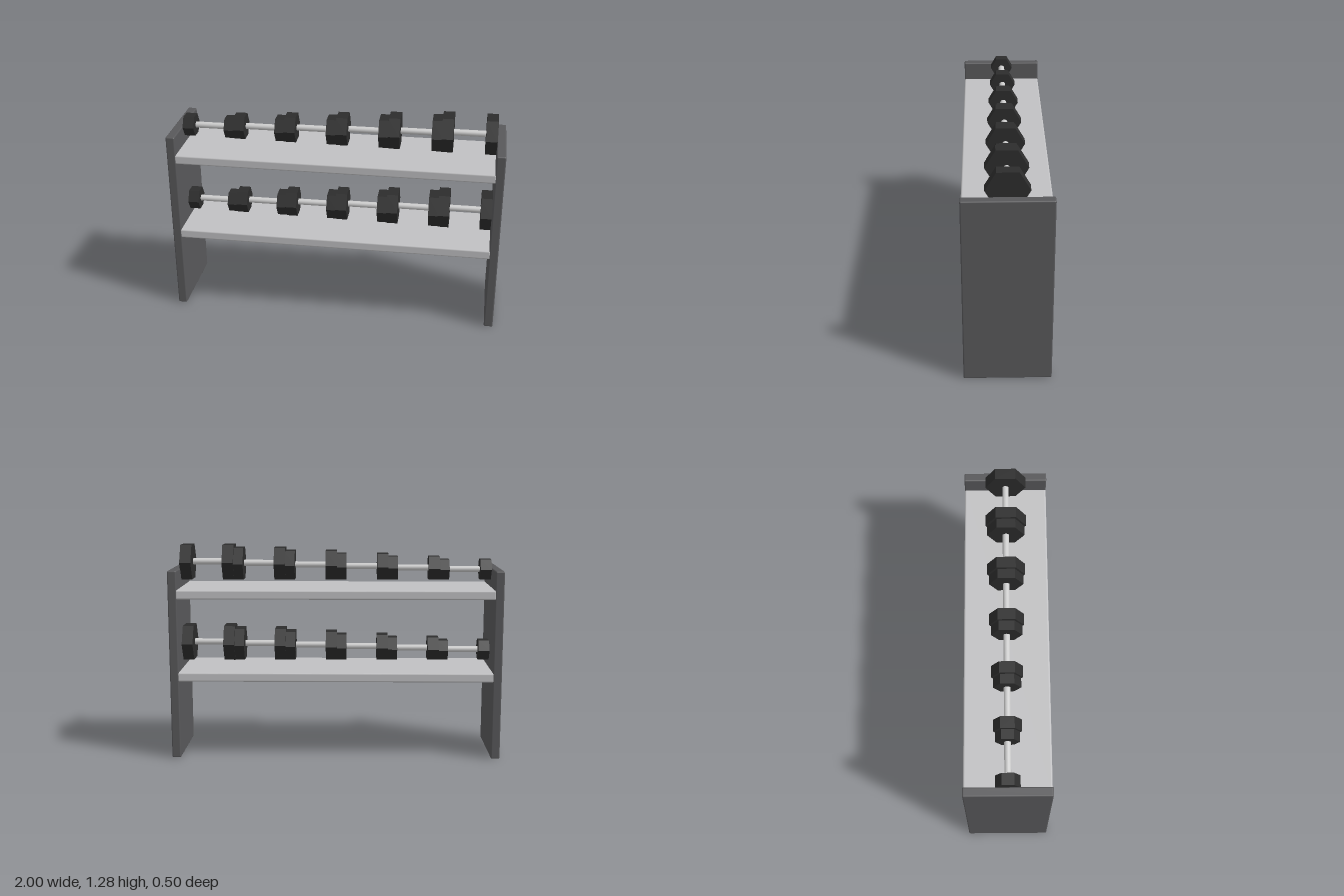
import * as THREE from 'three';
import { RoundedBoxGeometry } from 'three/addons/geometries/RoundedBoxGeometry.js';

function material(name, color) {
  const m = new THREE.MeshStandardMaterial({ color });
  m.name = name;
  return m;
}

function part(name, geometry, mat, x, y, z = 0) {
  const mesh = new THREE.Mesh(geometry, mat);
  mesh.name = name;
  mesh.position.set(x, y, z);
  return mesh;
}

// Hexagonal prism along x: flat on top and bottom, points at front and back
function hexPrism(radius, width) {
  const g = new THREE.CylinderGeometry(radius, radius, width, 6).rotateZ(Math.PI / 2).toNonIndexed();
  g.computeVertexNormals();
  return g;
}

export function createModel() {
  const rack = new THREE.Group();
  rack.name = 'dumbbellRack';
  const panelGrey = material('panel grey', 0x58585a);
  const shelfGrey = material('shelf light grey', 0xc0c0c2);
  const rubber = material('rubber black', 0x2c2c2c);
  const steel = material('handle steel', 0xcccccc);

  // Upright end panels
  const panel = new RoundedBoxGeometry(0.054, 1.145, 0.5, 3, 0.008);
  rack.add(part('leftPanel', panel, panelGrey, 0.973, 0.5725));
  rack.add(part('rightPanel', panel, panelGrey, -0.973, 0.5725));

  const shelf = new RoundedBoxGeometry(1.908, 0.056, 0.5, 3, 0.01);
  const handle = new THREE.CylinderGeometry(0.019, 0.019, 0.22, 20).rotateZ(Math.PI / 2);

  for (const [tier, shelfY] of [['lower', 0.502], ['upper', 1.002]]) {
    rack.add(part(tier + 'Shelf', shelf, shelfGrey, 0, shelfY));

    // Six dumbbells, growing toward the model's left, undersides level
    for (let i = 0; i < 6; i++) {
      const radius = 0.07 + 0.0103 * i;
      const head = hexPrism(radius, 0.068);
      const dumbbell = new THREE.Group();
      dumbbell.name = tier + 'Dumbbell' + (i + 1);
      dumbbell.position.set((i - 2.5) * 0.3142, shelfY + 0.072 + radius * Math.sqrt(3) / 2, 0);
      dumbbell.add(part('handle', handle, steel, 0, 0));
      dumbbell.add(part('leftHead', head, rubber, 0.128, 0));
      dumbbell.add(part('rightHead', head, rubber, -0.128, 0));
      rack.add(dumbbell);
    }
  }
  return rack;
}
